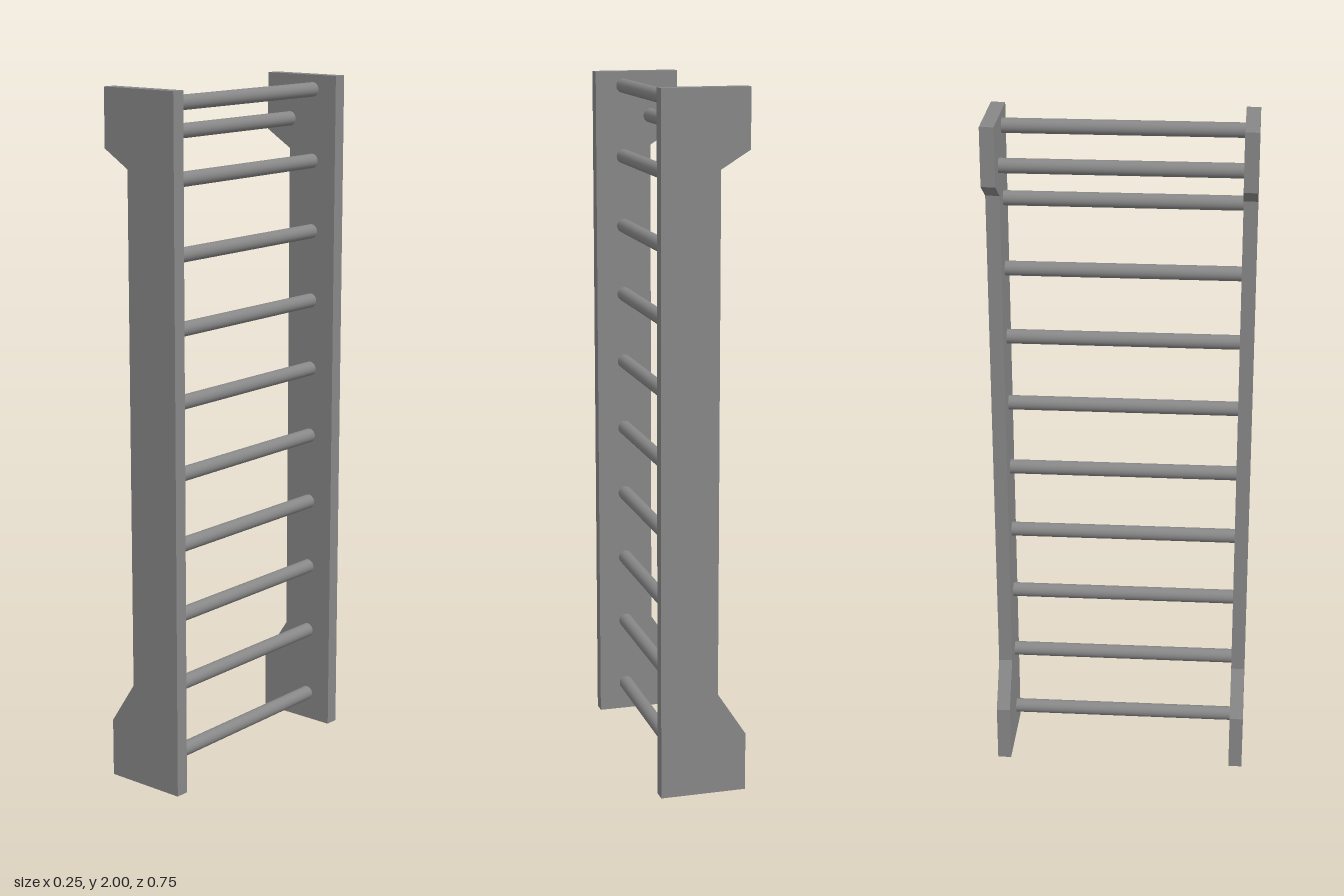
import * as THREE from 'three';

export function createModel() {
  const group = new THREE.Group();
  group.name = 'wallBars';
  const material = new THREE.MeshStandardMaterial({ color: 0x878787 });

  const panelThickness = 0.04, halfDepth = 0.375;
  const innerZ = halfDepth - panelThickness;

  // Side panels: upright boards with a stepped foot and head
  const outline = [
    [-0.125, 0], [0.125, 0], [0.125, 2], [-0.125, 2],
    [-0.125, 1.833], [-0.042, 1.782], [-0.042, 0.297], [-0.125, 0.17],
  ].map(([x, y]) => new THREE.Vector2(x, y));
  const panelGeometry = new THREE.ExtrudeGeometry(new THREE.Shape(outline), {
    depth: panelThickness, bevelEnabled: false,
  });
  for (const [name, z] of [['frontPanel', innerZ], ['backPanel', -halfDepth]]) {
    const panel = new THREE.Mesh(panelGeometry, material);
    panel.name = name;
    panel.position.z = z;
    group.add(panel);
  }

  // Round rungs spanning between the panels
  const rungGeometry = new THREE.CylinderGeometry(0.021, 0.021, 2 * innerZ, 32);
  rungGeometry.rotateX(Math.PI / 2);
  const addRung = (name, x, y) => {
    const rung = new THREE.Mesh(rungGeometry, material);
    rung.name = name;
    rung.position.set(x, y, 0);
    group.add(rung);
  };

  // Ten evenly spaced climbing rungs
  for (let i = 0; i < 10; i++) addRung(`rung${i + 1}`, 0.0415, 0.084 + i * 0.2082);

  // Offset pull-up bar near the top
  addRung('pullUpBar', -0.042, 1.869);

  return group;
}
